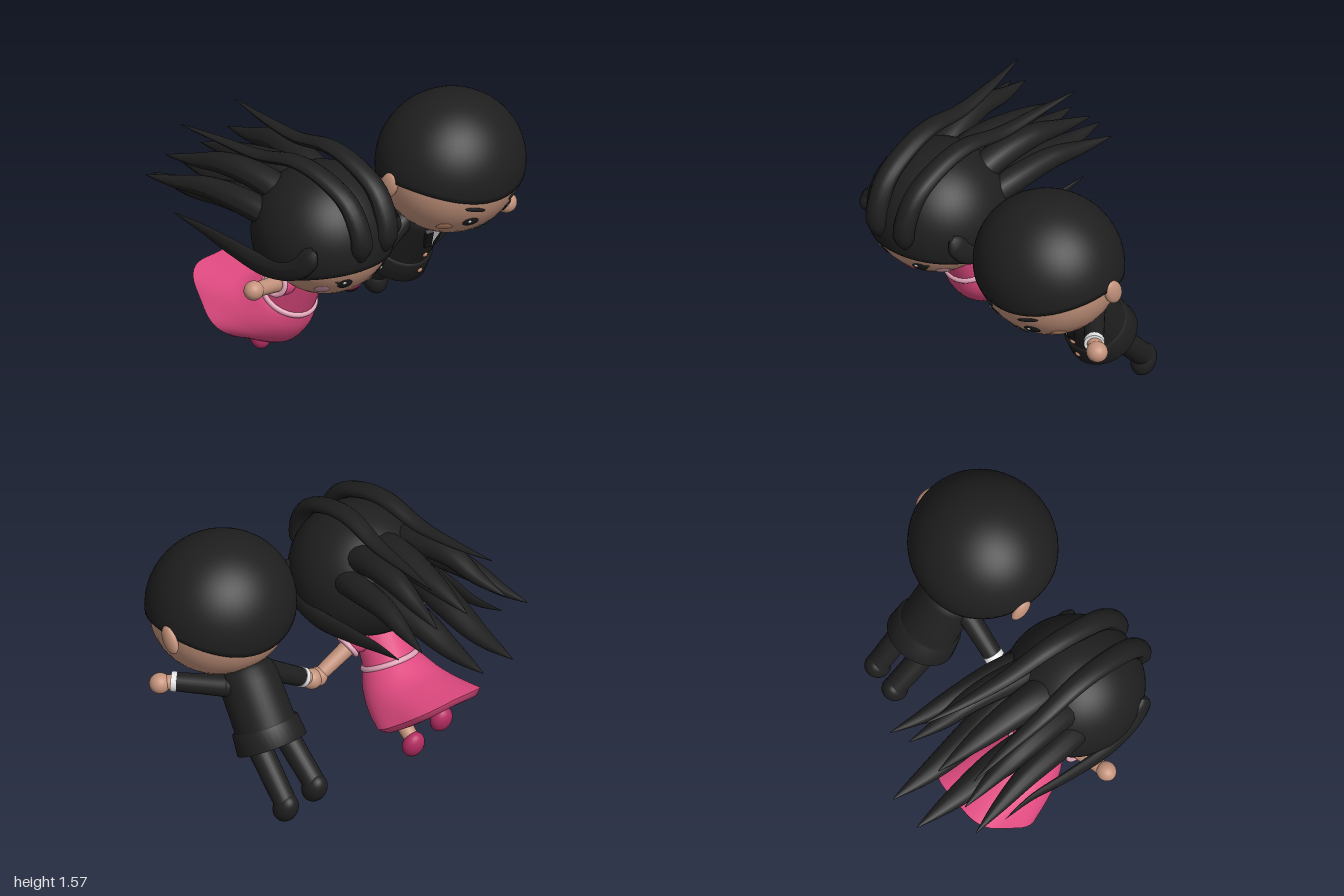
import * as THREE from 'three';
import { mergeVertices } from 'three/addons/utils/BufferGeometryUtils.js';

const mat = (name, color, side = THREE.FrontSide) => {
  const m = new THREE.MeshStandardMaterial({ color, side });
  m.name = name;
  return m;
};
const M = {
  black: mat('black', 0x1f1f1f, THREE.DoubleSide),
  skin: mat('skin', 0xc4937c),
  tan: mat('tan', 0xc48d6c),
  pink: mat('pink', 0xe04a80, THREE.DoubleSide),
  rose: mat('rose', 0xb52d62),
  lip: mat('lip', 0xd43a7a),
  trim: mat('pale pink', 0xe2a4b8),
  blush: mat('blush', 0xd399a8),
  white: mat('white', 0xf0f0f0, THREE.DoubleSide),
};
const V = (x, y, z) => new THREE.Vector3(x, y, z);
const UP = V(0, 1, 0);

function add(parent, name, geo, material) {
  const m = new THREE.Mesh(geo, material);
  m.name = name;
  parent.add(m);
  return m;
}

function ball(parent, name, p, r, material) {
  const m = add(parent, name, new THREE.SphereGeometry(1, 32, 24), material);
  m.position.copy(p);
  m.scale.set(...r);
  return m;
}

// Tapered cylinder from a to b
function limb(parent, name, a, b, ra, rb, material) {
  const m = add(parent, name, new THREE.CylinderGeometry(rb, ra, a.distanceTo(b), 24), material);
  m.position.copy(a).lerp(b, 0.5);
  m.quaternion.setFromUnitVectors(UP, b.clone().sub(a).normalize());
}

// Ring whose axis follows dir
function ring(parent, name, p, dir, r, tube, material) {
  const m = add(parent, name, new THREE.TorusGeometry(r, tube, 12, 40), material);
  m.position.copy(p);
  m.quaternion.setFromUnitVectors(V(0, 0, 1), dir.clone().normalize());
}

// Tapered lock of hair along a curve, squashed by fy and fz
function lock(parent, name, pts, r, fy = 1, fz = 1, power = 2.6) {
  const curve = new THREE.CatmullRomCurve3(pts.map(p => V(...p)));
  const n = 36, sides = 14;
  const geo = new THREE.TubeGeometry(curve, n, 1, sides);
  const pos = geo.attributes.position, v = V(0, 0, 0);
  for (let i = 0; i <= n; i++) {
    const t = i / n, c = curve.getPointAt(t);
    const rr = r * Math.sqrt(Math.min(1, t * 18 + 0.1)) * (1 - t ** power) + 0.002;
    for (let j = 0; j <= sides; j++) {
      const k = i * (sides + 1) + j;
      v.fromBufferAttribute(pos, k).sub(c).multiplyScalar(rr);
      pos.setXYZ(k, c.x + v.x, c.y + v.y * fy, c.z + v.z * fz);
    }
  }
  geo.computeVertexNormals();
  add(parent, name, geo, M.black);
}

// Hair cap on an ellipsoid; edge(c) is the hairline height, c = 1 at the front, -1 at the back
function hairCap(parent, center, r, edge) {
  const geo0 = new THREE.SphereGeometry(1, 56, 24, 0, Math.PI * 2, 0, 1);
  geo0.deleteAttribute('uv');
  geo0.deleteAttribute('normal');
  const geo = mergeVertices(geo0), pos = geo.attributes.position;
  for (let i = 0; i < pos.count; i++) {
    const a = Math.atan2(pos.getZ(i), pos.getX(i));
    const t = Math.acos(Math.min(1, pos.getY(i)));
    const th = Math.min(1, t * 24 / 23) * Math.acos(edge(Math.cos(a)) / r[1]);
    const s = t > 0.99 ? 0.92 : 1; // last row folds in to the skin
    pos.setXYZ(i, s * r[0] * Math.sin(th) * Math.cos(a), s * r[1] * Math.cos(th), s * r[2] * Math.sin(th) * Math.sin(a));
  }
  geo.computeVertexNormals();
  add(parent, 'hairCap', geo, M.black).position.copy(center);
}

// Thin oval laid on a head; y and z are positions, w and h half sizes
function onFace(parent, name, head, y, z, w, h, material, roll = 0, lift = 0) {
  const { c, r } = head, dy = y - c.y, dz = z - c.z;
  const dx = r[0] * Math.sqrt(1 - (dy / r[1]) ** 2 - (dz / r[2]) ** 2);
  const n = V(dx / r[0] ** 2, dy / r[1] ** 2, dz / r[2] ** 2).normalize();
  const m = ball(parent, name, V(c.x + dx, y, z).addScaledVector(n, lift), [w, h, 0.008], material);
  m.lookAt(m.position.clone().add(n));
  m.rotateZ(roll);
}

// Trapezoid bent around the torso front
function bentPlate(parent, name, R, yTop, yBottom, wTop, wBottom, material) {
  const geo = new THREE.PlaneGeometry(1, 1, 10, 1), pos = geo.attributes.position;
  for (let i = 0; i < pos.count; i++) {
    const top = pos.getY(i) > 0, z = -pos.getX(i) * (top ? wTop : wBottom);
    pos.setXYZ(i, Math.sqrt(R * R - z * z), top ? yTop : yBottom, z);
  }
  geo.computeVertexNormals();
  add(parent, name, geo, material);
}

const lathe = pts => new THREE.LatheGeometry(pts.map(p => new THREE.Vector2(...p)), 40);

function createMan() {
  const g = new THREE.Group();
  g.name = 'man';
  const zc = -0.495, head = { c: V(0.462, 1.14, zc), r: [0.415, 0.424, 0.437] };
  ball(g, 'manHead', head.c, head.r, M.skin);
  hairCap(g, head.c, [0.434, 0.433, 0.455], c => (c > 0 ? -0.11 : -0.13) * c * c);

  // Leaning jacket, measured down from the head centre
  const body = new THREE.Group();
  body.name = 'jacket';
  body.position.copy(head.c);
  body.rotation.z = -0.55;
  g.add(body);
  add(body, 'torso', lathe([[0.185, -0.8], [0.18, -0.48], [0.165, -0.42], [0.12, -0.38], [0, -0.36]]), M.black);
  add(body, 'jacketHem', lathe([[0, -0.87], [0.19, -0.875], [0.215, -0.893], [0.203, -0.77], [0.18, -0.765]]), M.black);
  bentPlate(body, 'shirt', 0.19, -0.42, -0.6, 0.16, 0.004, M.white);
  bentPlate(body, 'tie', 0.194, -0.42, -0.55, 0.018, 0.04, M.black);
  bentPlate(body, 'tieTip', 0.194, -0.55, -0.595, 0.04, 0.004, M.black);
  for (const s of [-1, 1]) {
    const lapel = add(body, 'lapel', new THREE.BoxGeometry(0.025, 0.19, 0.045), M.black);
    lapel.position.set(0.18, -0.505, s * 0.072);
    lapel.rotation.set(s * 0.4, s * -0.35, 0);
  }
  ball(body, 'button', V(0.184, -0.694, 0), [0.012, 0.018, 0.018], M.tan);
  ball(body, 'button', V(0.207, -0.815, 0), [0.012, 0.018, 0.018], M.tan);

  // Legs and shoes
  for (const [x, y, z] of [[-0.275, 0.17, -0.397], [-0.247, 0.1, -0.592]]) {
    limb(g, 'trouserLeg', V(0.03, 0.44, z), V(x, y + 0.03, z), 0.075, 0.068, M.black);
    ball(g, 'manShoe', V(x, y, z), [0.075, 0.1, 0.075], M.black).rotation.z = 0.45;
  }

  // Arms: shoulder, wrist, hand
  for (const [a, b, h] of [
    [V(0.22, 0.73, -0.36), V(0.215, 0.555, -0.09), V(0.215, 0.505, -0.01)],
    [V(0.22, 0.73, -0.63), V(0.455, 0.735, -0.85), V(0.507, 0.727, -0.92)]]) {
    const d = b.clone().sub(a).normalize();
    ball(g, 'shoulder', a, [0.068, 0.068, 0.068], M.black);
    limb(g, 'sleeve', a, b, 0.066, 0.056, M.black);
    limb(g, 'cuff', b.clone().addScaledVector(d, -0.013), b.clone().addScaledVector(d, 0.02), 0.061, 0.061, M.white);
    limb(g, 'wrist', b, h, 0.045, 0.045, M.skin);
    ball(g, 'manHand', h, [0.062, 0.062, 0.065], M.skin);
  }

  // Face
  for (const s of [-1, 1]) {
    ball(g, 'ear', V(0.39, 1.11, zc + s * 0.445), [0.06, 0.09, 0.033], M.skin).rotation.z = -0.45;
    onFace(g, 'manEye', head, 0.898, zc + s * 0.153, 0.05, 0.038, M.black);
    onFace(g, 'eyeGlint', head, 0.91, zc + s * 0.153 + 0.012, 0.011, 0.011, M.white, 0, 0.005);
    onFace(g, 'brow', head, 0.995, zc + s * 0.163, 0.07, 0.015, M.black, -s * 0.3);
    onFace(g, 'manCheek', head, 0.868, zc + s * 0.262, 0.05, 0.034, M.tan, s * 0.25);
    onFace(g, 'moustache', head, 0.805, zc + s * 0.035, 0.03, 0.012, M.black, s * 0.2);
  }
  onFace(g, 'manMouth', head, 0.778, zc, 0.04, 0.016, M.tan);
  return g;
}

// Wind-blown skirt: oval rings between a back line and a front line
function skirtGeometry() {
  const line = p => new THREE.CatmullRomCurve3(p.map(q => V(q[0], q[1], 0)));
  const back = line([[-0.055, 0.575], [-0.2, 0.525], [-0.35, 0.53], [-0.535, 0.55]]);
  const front = line([[0.23, 0.41], [0.19, 0.3], [0.1, 0.2], [0.0, 0.165]]);
  const n = 16, s = 60, pos = [], idx = [];
  // Rings as [t, scale, bulge]; the last four close the rounded underside
  const rings = Array.from({ length: n + 1 }, (_, i) => [i / n, 1, 0]);
  rings.push([1, 1, 0], [1, 0.88, 0.035], [1, 0.6, 0.045], [1, 0.01, 0.045]);
  rings.forEach(([t, k, bulge], i) => {
    const b = back.getPoint(t), f = front.getPoint(t), rz = 0.165 + 0.15 * t ** 0.75;
    for (let j = 0; j < s; j++) {
      const a = j / s * Math.PI * 2, w = k * (1 + 0.05 * t * t * Math.cos(5 * a));
      const c = Math.cos(a) * w, sag = bulge + 0.02 * t * t * Math.sin(a) ** 2;
      pos.push((b.x + f.x) / 2 + (f.x - b.x) / 2 * c - 0.585 * sag,
        (b.y + f.y) / 2 + (f.y - b.y) / 2 * c - 0.81 * sag, 0.477 + rz * Math.sin(a) * w);
      if (i < rings.length - 1) {
        const p = i * s + j, q = i * s + (j + 1) % s;
        idx.push(p, q, p + s, q, q + s, p + s);
      }
    }
  });
  const geo = new THREE.BufferGeometry();
  geo.setAttribute('position', new THREE.Float32BufferAttribute(pos, 3));
  geo.setIndex(idx);
  geo.computeVertexNormals();
  return geo;
}

function createWoman() {
  const g = new THREE.Group();
  g.name = 'woman';
  const zc = 0.477, head = { c: V(0.39, 1.02, zc), r: [0.385, 0.382, 0.4] };
  ball(g, 'womanHead', head.c, head.r, M.skin);
  hairCap(g, V(0.36, 1.0, zc), [0.425, 0.415, 0.42], c => -0.18 + 0.08 * c);

  // Flowing hair: side locks, forehead locks and back strands, mirrored
  for (const s of [-1, 1]) {
    const z = o => zc + s * o;
    lock(g, 'sideLock', [[0.62, 1.07, z(0.34)], [0.52, 0.94, z(0.375)], [0.3, 0.88, z(0.4)], [0, 0.9, z(0.39)],
      [-0.25, 0.925, z(0.37)], [-0.465, 0.965, z(0.39)]], 0.07, 1, 0.5);
    lock(g, 'foreheadLock', [[0.765, 0.97, z(0.1)], [0.775, 1.13, z(0.11)], [0.68, 1.32, z(0.12)], [0.48, 1.43, z(0.13)],
      [0.28, 1.465, z(0.14)], [0, 1.42, z(0.16)], [-0.3, 1.43, z(0.19)], [-0.57, 1.45, z(0.23)]], 0.058, 0.7, 1.15, 3);
    lock(g, 'upperStrand', [[0.45, 1.1, z(0.12)], [0.1, 1.27, z(0.17)], [-0.2, 1.31, z(0.21)], [-0.45, 1.26, z(0.23)], [-0.66, 1.23, z(0.26)]], 0.085, 1, 1.1, 3);
    lock(g, 'outerStrand', [[0.4, 1.05, z(0.2)], [0.08, 1.15, z(0.28)], [-0.25, 1.18, z(0.32)], [-0.5, 1.15, z(0.36)], [-0.69, 1.14, z(0.4)]], 0.08, 1, 1.05, 3);
    lock(g, 'lowerStrand', [[0.3, 1.05, z(0.16)], [0, 1.08, z(0.15)], [-0.3, 1.05, z(0.12)], [-0.6, 0.99, z(0.11)], [-0.9, 0.98, z(0.112)]], 0.085, 1, 1.25, 3.2);
  }
  lock(g, 'middleStrand', [[0.5, 1.1, zc], [0.1, 1.28, zc], [-0.3, 1.27, zc - 0.01], [-0.64, 1.22, zc - 0.015]], 0.09, 1, 1.2, 3);

  // Dress
  const waist = V(0.0875, 0.492, zc), chest = V(0.235, 0.745, zc);
  limb(g, 'bodice', waist, chest, 0.162, 0.14, M.pink);
  ring(g, 'belt', waist, chest.clone().sub(waist), 0.163, 0.018, M.trim);
  add(g, 'skirt', skirtGeometry(), M.pink);

  // Arms: shoulder, sleeve end, hand
  for (const [a, b, h] of [
    [V(0.19, 0.66, 0.64), V(0.195, 0.672, 0.705), V(0.24, 0.725, 0.935)],
    [V(0.19, 0.66, 0.31), V(0.195, 0.63, 0.25), V(0.215, 0.5, 0.035)]]) {
    ball(g, 'puffSleeve', a, [0.085, 0.08, 0.08], M.pink);
    ring(g, 'sleeveTrim', b, h.clone().sub(b), 0.066, 0.016, M.trim);
    limb(g, 'womanArm', a, h, 0.052, 0.043, M.skin);
    ball(g, 'womanHand', h, [0.058, 0.058, 0.062], M.skin);
  }

  // Legs and shoes
  for (const [x, y, z] of [[-0.265, 0.215, 0.575], [-0.222, 0.09, 0.4]]) {
    limb(g, 'womanLeg', V(x + 0.2, y + 0.18, z), V(x + 0.01, y + 0.03, z), 0.052, 0.045, M.skin);
    ball(g, 'womanShoe', V(x, y, z), [0.058, 0.086, 0.07], M.rose).rotation.z = 0.3;
  }

  // Face
  for (const s of [-1, 1]) {
    onFace(g, 'womanEye', head, 0.807, zc + s * 0.145, 0.046, 0.044, M.black);
    onFace(g, 'eyeGlint', head, 0.825, zc + s * 0.145 + 0.012, 0.012, 0.012, M.white, 0, 0.005);
    onFace(g, 'lash', head, 0.825, zc + s * 0.185, 0.024, 0.008, M.black, -s * 0.4);
    onFace(g, 'womanCheek', head, 0.768, zc + s * 0.232, 0.048, 0.038, M.blush, s * 0.5);
  }
  onFace(g, 'womanMouth', head, 0.713, zc, 0.05, 0.02, M.lip);
  return g;
}

export function createModel() {
  const model = new THREE.Group();
  model.name = 'couple';
  model.add(createMan(), createWoman());
  return model;
}
